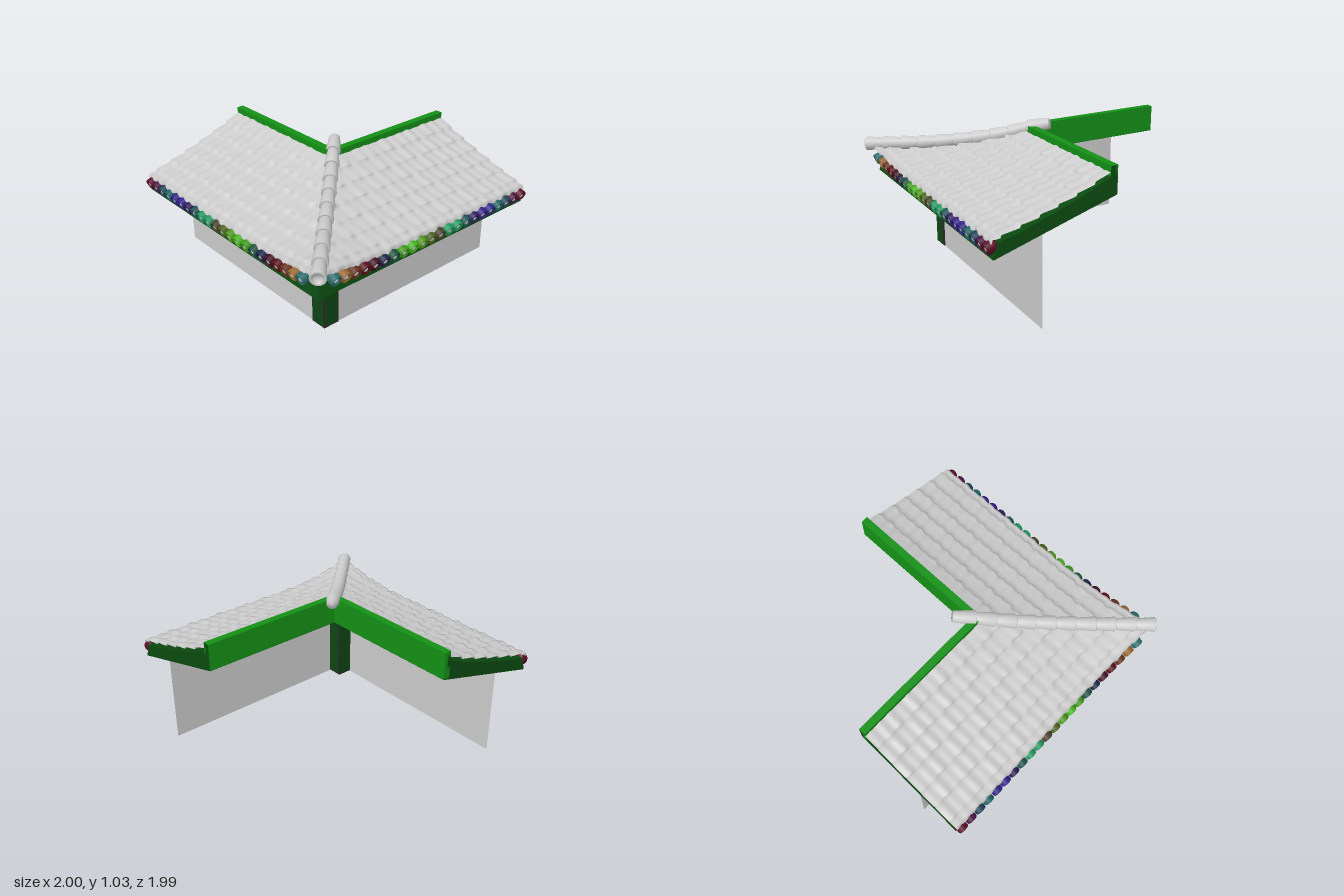
import * as THREE from 'three';

const WAVE = 0.0845, COURSE = 0.127;
const mat = (color, extra = {}) => new THREE.MeshStandardMaterial({ color, ...extra });
const lerp = THREE.MathUtils.lerp;

// Upturn toward the hip corner (0 along the straight run, 1 at the corner)
const upturn = (x) => THREE.MathUtils.clamp((x - 0.2) / 0.7, 0, 1) ** 2;

// Sagging roof slope: distance d from the inner corner gives height
const slope = new THREE.SplineCurve([
  [0.05, 0.955], [0.2, 0.89], [0.35, 0.832], [0.5, 0.78], [0.7, 0.718], [0.92, 0.662],
].map(([d, y]) => new THREE.Vector2(d, y)));
function slopeY(d) {
  const pts = slope.points;
  let i = 0;
  while (i < pts.length - 2 && d > pts[i + 1].x) i++;
  const t = (d - pts[i].x) / (pts[i + 1].x - pts[i].x);
  return slope.getPoint((i + t) / (pts.length - 1)).y;
}
const rise = (x, d) => 0.085 * upturn(x) * (d / 0.9) ** 2;
const flare = (x, d) => 0.03 * upturn(x) * (d / 0.9) ** 2;

// Grid of points (rows x columns) to a surface
function gridGeometry(rows, cols, point, caps = []) {
  const pos = [], idx = [...caps];
  for (let r = 0; r < rows; r++) for (let c = 0; c < cols; c++) pos.push(...point(r, c));
  for (let r = 0; r < rows - 1; r++) for (let c = 0; c < cols - 1; c++) {
    const a = r * cols + c, b = a + cols;
    idx.push(a, b, a + 1, b, b + 1, a + 1);
  }
  const g = new THREE.BufferGeometry();
  g.setAttribute('position', new THREE.Float32BufferAttribute(pos, 3));
  g.setIndex(idx);
  g.computeVertexNormals();
  return g;
}

// Mirror a geometry across the diagonal plane x = z
function swapXZ(geo) {
  const g = geo.index ? geo.toNonIndexed() : geo.clone();
  for (const name of ['position', 'normal']) {
    const a = g.attributes[name], src = a.clone();
    for (let i = 0; i < a.count; i++) {
      const j = i % 3 === 1 ? i + 1 : i % 3 === 2 ? i - 1 : i;
      a.setXYZ(i, src.getZ(j), src.getY(j), src.getX(j));
    }
  }
  return g;
}

// Wavy, stepped tile courses with a slightly uneven, hand-laid ripple
function tileGeometry() {
  const ds = [];
  for (let k = 0; k < 7; k++) for (const f of [0, 0.3, 0.6, 0.85, 0.97]) {
    const d = 0.09 + (k + f) * COURSE;
    if (d < 0.895) ds.push([d, f]);
  }
  ds.push([0.902, 0.6], [0.908, -0.9]); // rounded lip over the eave
  const cols = 150;
  return gridGeometry(ds.length, cols, (r, c) => {
    const [d, f] = ds[r];
    const x = lerp(-1, d, c / (cols - 1));
    const row = Math.floor((d - 0.085) / COURSE);
    const uneven = 0.5 * Math.sin(x * 29 + row * 2.1) + 0.35 * Math.sin(x * 47 + row * 4.3);
    const ripple = c === cols - 1 ? 0 : 0.65 * Math.cos((2 * Math.PI * (x + 0.96)) / WAVE) + uneven;
    const out = flare(x, d);
    return [x + out, slopeY(d) + rise(x, d) + 0.018 * (f - 0.5) + 0.004 * ripple,
      d + out + 0.006 * ripple * f];
  });
}

// Solid timber body below the tiles, mitred at the hip, closed at the far end
function bodyGeometry() {
  const section = [[0.05, 0.78], [0.05, 0.97], [0.1, 0.97],
    ...[0.1, 0.25, 0.4, 0.55, 0.7, 0.87].map((d) => [d, null]), [0.88, 0.6], [0.9, 0.535]];
  const n = section.length, rows = 20;
  const flat = section.map(([d, y]) => new THREE.Vector2(d, y ?? slopeY(d) - 0.035));
  const caps = THREE.ShapeUtils.triangulateShape(flat, []).flat();
  return gridGeometry(rows, n + 1, (r, c) => {
    const [d, y] = section[c % n];
    const x = lerp(-1, d, r / (rows - 1));
    return [x, y ?? slopeY(d) + 0.5 * rise(x, d) - 0.035, d];
  }, caps);
}

export function createModel() {
  const root = new THREE.Group();
  const grey = mat(0xcccccc);
  const greySheet = mat(0xcccccc, { side: THREE.DoubleSide });
  const darkGreen = mat(0x0f4413);
  const timber = mat(0x0b4a10, { flatShading: true, side: THREE.DoubleSide });
  const brightGreen = mat(0x149016);
  const purple = mat(0x3a1a3c);

  const wings = ['front', 'side'].map((name) => {
    const g = new THREE.Group();
    g.name = name + 'Wing';
    root.add(g);
    return g;
  });
  // Each wing part is made once and mirrored for the other wing
  const addBoth = (name, geo, material) => [geo, swapXZ(geo)].forEach((g, i) => {
    const m = new THREE.Mesh(g, material);
    m.name = name;
    wings[i].add(m);
  });

  addBoth('roofTiles', tileGeometry(), greySheet);
  addBoth('roofBody', bodyGeometry(), timber);
  addBoth('ridgeBoard', new THREE.BoxGeometry(1.1, 0.19, 0.052).translate(-0.45, 0.877, 0.075), brightGreen);
  // Wall flush with the outer face of the corner post
  addBoth('wall', new THREE.PlaneGeometry(1.57, 0.63).translate(-0.215, 0.315, 0.575), greySheet);

  // Coloured round eave tiles, tipped slightly down
  const colors = [0x5a0e26, 0x4a1242, 0x1f4256, 0x1b6262, 0x2c2084, 0x341c88, 0x2c1c58, 0x1b5252,
    0x1f965e, 0x1f965e, 0x4a402a, 0x4a621a, 0x4a961a, 0x45b41a, 0x3c961a, 0x1a523e,
    0x1c2448, 0x420c22, 0x5a0e16, 0x66301c, 0x96642e, 0x2a6a6a];
  const capProfile = [[0, -0.04], [0.035, -0.04], [0.039, -0.02], [0.04, 0.026], [0.037, 0.032],
    [0.032, 0.032], [0.029, 0.022], [0, 0.022]].map((p) => new THREE.Vector2(...p));
  const capGeo = new THREE.LatheGeometry(capProfile, 20);
  const bossGeo = new THREE.SphereGeometry(0.016, 12, 6).scale(1, 0.5, 1).translate(0, 0.023, 0);
  colors.forEach((color, i) => {
    const x = -0.96 + i * 0.0838, up = upturn(x);
    const place = (g) => g.clone().rotateX(Math.PI / 2 + 0.36)
      .translate(x, 0.605 + 0.075 * up, 0.902 + 0.03 * up);
    addBoth('eaveTile', place(capGeo), mat(color));
    addBoth('eaveTileBoss', place(bossGeo), grey);
  });

  // Hip ridge of overlapping tapered barrel tiles along the diagonal
  const hip = new THREE.Group();
  hip.name = 'hipRidge';
  root.add(hip);
  const hipPath = new THREE.CatmullRomCurve3([[-0.035, 0.99], [0.08, 0.95], [0.2, 0.895], [0.34, 0.85],
    [0.49, 0.812], [0.62, 0.785], [0.755, 0.765], [0.85, 0.752], [0.95, 0.738]]
    .map(([t, y]) => new THREE.Vector3(t, y, t - 0.01)));
  const COUNT = 10;
  for (let i = 0; i < COUNT; i++) {
    const a = hipPath.getPointAt(i / COUNT), b = hipPath.getPointAt((i + 1) / COUNT);
    const dir = b.clone().sub(a), L = dir.length() + 0.015;
    const profile = [[0, 0], [0.039, 0], [0.052, L - 0.004], [0.049, L], [0.031, L], [0.029, L - 0.02],
      [0, L - 0.02]].map((p) => new THREE.Vector2(...p));
    const tile = new THREE.Mesh(new THREE.LatheGeometry(profile, 24), grey);
    tile.name = 'hipTile';
    tile.position.copy(a);
    tile.quaternion.setFromUnitVectors(new THREE.Vector3(0, 1, 0), dir.normalize());
    hip.add(tile);
  }

  // Corner post: purple-edged core with green panels
  const post = new THREE.Group();
  post.name = 'cornerPost';
  root.add(post);
  for (const [w, h, d, y, m, name] of [[0.124, 0.62, 0.124, 0.314, purple, 'postCore'],
    [0.11, 0.62, 0.128, 0.32, darkGreen, 'postPanel'], [0.128, 0.62, 0.11, 0.32, darkGreen, 'postPanel'],
    [0.108, 0.02, 0.108, 0.01, darkGreen, 'postFoot']]) {
    const box = new THREE.Mesh(new THREE.BoxGeometry(w, h, d), m);
    box.name = name;
    box.position.set(0.522, y, 0.522);
    post.add(box);
  }
  return root;
}
